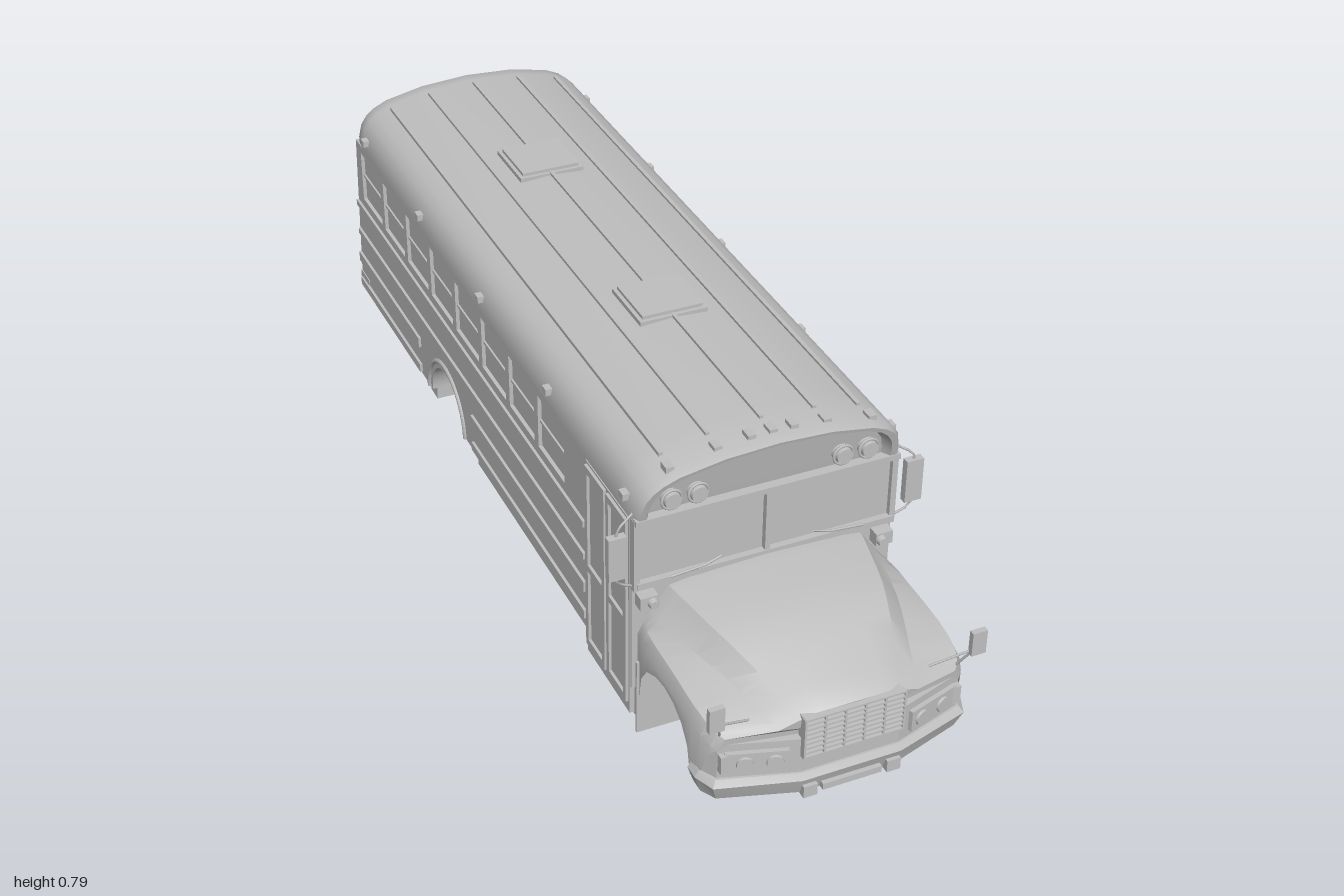
import * as THREE from 'three';
import { toCreasedNormals } from 'three/addons/utils/BufferGeometryUtils.js';

const grey = new THREE.MeshStandardMaterial({ color: 0xc0c0c0, side: THREE.DoubleSide });
grey.name = 'bodyGrey';

export function createModel() {
  const model = new THREE.Group();

  const add = (name, geo, x = 0, y = 0, z = 0) => {
    const m = new THREE.Mesh(geo, grey);
    m.name = name;
    m.position.set(x, y, z);
    model.add(m);
    return m;
  };
  // Box given by its limits
  const box = (name, x0, x1, y0, y1, z0, z1) =>
    add(name, new THREE.BoxGeometry(x1 - x0, y1 - y0, z1 - z0), (x0 + x1) / 2, (y0 + y1) / 2, (z0 + z1) / 2);
  // Round lamp facing along z
  const lamp = (name, x, y, z, r, d = 0.012) =>
    add(name, new THREE.CylinderGeometry(r * 0.85, r, d, 20).rotateX(z > 0 ? Math.PI / 2 : -Math.PI / 2), x, y, z);
  const rod = (name, pts, r = 0.0025) => {
    const path = new THREE.CurvePath();
    const v = pts.map(p => new THREE.Vector3(...p));
    for (let i = 1; i < v.length; i++) path.add(new THREE.LineCurve3(v[i - 1], v[i]));
    add(name, new THREE.TubeGeometry(path, 12, r, 6));
  };
  // Skin through equal-length rings of points
  const loft = (name, rings, { closed = false, caps = [] }, crease = 0.6) => {
    const n = rings[0].length, pos = rings.flat(2), idx = [];
    for (let i = 0; i < rings.length - 1; i++)
      for (let j = 0; j < (closed ? n : n - 1); j++) {
        const a = i * n + j, b = i * n + (j + 1) % n;
        idx.push(a, b, a + n, b, b + n, a + n);
      }
    for (const [r, centre] of caps) {
      const c = pos.length / 3;
      pos.push(...centre);
      for (let j = 0; j < n; j++) idx.push(r * n + j, r * n + (j + 1) % n, c);
    }
    const g = new THREE.BufferGeometry();
    g.setAttribute('position', new THREE.Float32BufferAttribute(pos, 3));
    g.setIndex(idx);
    add(name, toCreasedNormals(g, crease));
  };
  // Shape drawn in (z, y), extruded across x from x0 to x1
  const sideExtrude = (name, shape, x0, x1) =>
    add(name, new THREE.ExtrudeGeometry(shape, { depth: x1 - x0, bevelEnabled: false, curveSegments: 24 })
      .rotateY(-Math.PI / 2).translate(x1, 0, 0));
  // Plan drawn in (x, z), extruded upward
  const planExtrude = (name, pts, y0, y1) => {
    const s = new THREE.Shape(pts.map(([x, z]) => new THREE.Vector2(x, -z)));
    add(name, new THREE.ExtrudeGeometry(s, { depth: y1 - y0, bevelEnabled: false }).rotateX(-Math.PI / 2).translate(0, y0, 0));
  };
  const sideShape = () => {
    const s = new THREE.Shape();
    s.moveTo(0.62, 0.25);
    s.lineTo(0.62, 0.655);
    s.lineTo(-0.97, 0.655);
    s.lineTo(-0.995, 0.31);
    s.lineTo(-0.99, 0.25);
    s.lineTo(-0.52, 0.25);
    s.absarc(-0.4, 0.25, 0.098, Math.PI, 0, true);
    s.lineTo(0.62, 0.25);
    return s;
  };

  // Body core and side walls with window openings
  sideExtrude('bodyCore', sideShape(), -0.262, 0.262);
  box('floorTunnel', -0.13, 0.13, 0.25, 0.36, -0.52, -0.28);
  for (const s of [-1, 1]) {
    const wall = sideShape();
    const count = s > 0 ? 9 : 8;
    for (let i = 0; i < count + (s > 0 ? 1 : 0); i++) {
      const z = -0.87 + i * 0.157, w = i === 9 ? 0.05 : 0.068;
      const h = new THREE.Path();
      h.moveTo(z - w, 0.515); h.lineTo(z + w, 0.515); h.lineTo(z + w, 0.635); h.lineTo(z - w, 0.635);
      h.closePath();
      wall.holes.push(h);
      box('windowSash', s > 0 ? 0.262 : -0.266, s > 0 ? 0.266 : -0.262, 0.572, 0.578, z - w, z + w);
    }
    sideExtrude('sideWall', wall, s > 0 ? 0.262 : -0.27, s > 0 ? 0.27 : -0.262);

    // Rub rails, broken by the wheel arch and the door
    const zf = s > 0 ? 0.61 : 0.4;
    const xr = s > 0 ? [0.268, 0.276] : [-0.276, -0.268];
    for (const [y, h] of [[0.487, 0.014], [0.41, 0.014]]) box('rubRail', ...xr, y - h / 2, y + h / 2, -0.98, zf);
    for (const [y, h] of [[0.335, 0.024], [0.267, 0.02]]) {
      box('rubRail', ...xr, y - h / 2, y + h / 2, -0.23, zf);
      box('rubRail', ...xr, y - h / 2, y + h / 2, -0.99, -0.565);
    }
    for (let i = 0; i < 5; i++) box('sideMarker', s * 0.271 - 0.008, s * 0.271 + 0.008, 0.678, 0.692, 0.58 - i * 0.37, 0.6 - i * 0.37);

    // Lower skirts, frame rails and wheel arch lip
    box('skirt', s * 0.25 - 0.012, s * 0.25 + 0.012, 0.215, 0.25, -0.23, 0.58);
    box('frameRail', s * 0.1 - 0.015, s * 0.1 + 0.015, 0.205, 0.25, -0.56, 0.64);
    add('archLip', new THREE.TorusGeometry(0.115, 0.006, 6, 24, Math.PI).rotateY(Math.PI / 2), s * 0.27, 0.25, -0.4);
    const hanger = new THREE.Shape([[-0.44, 0.17], [-0.33, 0.17], [-0.33, 0.255], [-0.44, 0.255]].map(p => new THREE.Vector2(...p)));
    hanger.holes.push(new THREE.Path([[-0.41, 0.19], [-0.37, 0.19], [-0.37, 0.235], [-0.41, 0.235]].map(p => new THREE.Vector2(...p))));
    sideExtrude('axleHanger', hanger, s * 0.12 - 0.02, s * 0.12 + 0.02);

    // Front mud flap
    box('mudFlap', Math.min(s * 0.12, s * 0.27), Math.max(s * 0.12, s * 0.27), 0.158, 0.33, 0.638, 0.644);
  }
  for (const z of [0.31, 0.02, -0.25, -0.55]) box('crossBeam', -0.25, 0.25, 0.2, 0.25, z - 0.022, z + 0.022);
  box('stepWell', -0.262, -0.1, 0.18, 0.25, 0.41, 0.62);
  loft('rearTank', [[0.25, 0.2, -0.56, -0.84], [0.215, 0.17, -0.57, -0.78]].map(([y, w, a, b]) =>
    [[-w, y, a], [w, y, a], [w, y, b], [-w, y, b]]), { closed: true, caps: [[1, [0, 0.215, -0.68]]] }, 0.2);

  // Roof with a forward visor and rounded rear
  const half = [[0.27, 0.645], [0.27, 0.67], [0.263, 0.7], [0.25, 0.72], [0.232, 0.735], [0.2, 0.75], [0.11, 0.769], [0, 0.776]];
  const section = [...half, ...half.slice(0, -1).reverse().map(([x, y]) => [-x, y])];
  const roofRing = ([z, k, s]) => section.map(([x, y]) => {
    const yy = 0.65 + (y - 0.65) * s;
    return [x * s, yy, z + k * (yy - 0.65)];
  });
  loft('roof', [[0.62, 0.18, 0.88], [0.637, 0.26, 0.92], [0.637, 0.26, 0.97], [0.622, 0.24, 1], [0.55, 0, 1], [-0.92, 0, 1], [-0.955, 0.03, 0.985], [-0.974, 0.12, 0.94]]
    .map(roofRing), { closed: true, caps: [[0, [0, 0.69, 0.628]], [7, [0, 0.69, -0.969]]] }, 0.7);
  for (const [x, y] of [[-0.2, 0.75], [-0.108, 0.769], [0, 0.776], [0.108, 0.769], [0.2, 0.75]])
    box('roofRib', x - 0.004, x + 0.004, y - 0.006, y + 0.006, -0.9, 0.59);
  for (const z of [-0.49, 0.14]) {
    box('roofHatch', -0.072, 0.072, 0.76, 0.781, z - 0.07, z + 0.07);
    box('roofHatchLid', -0.064, 0.064, 0.78, 0.788, z - 0.062, z + 0.062);
  }
  for (const x of [-0.204, -0.11, -0.043, 0, 0.043, 0.11, 0.204]) {
    const y = 0.777 - x * x * 0.62;
    box('clearanceLamp', x - 0.008, x + 0.008, y - 0.012, y + 0.006, 0.615, 0.64);
    if (Math.abs(x) < 0.1) box('rearClearanceLamp', x - 0.01, x + 0.01, 0.725, 0.737, -0.975, -0.955);
  }

  // Windscreen, visor lamps, wipers, mirrors
  box('windscreenSill', -0.265, 0.265, 0.495, 0.508, 0.615, 0.636);
  box('windscreenHeader', -0.27, 0.27, 0.642, 0.654, 0.61, 0.64);
  box('windscreenDivider', -0.005, 0.005, 0.505, 0.645, 0.618, 0.634);
  for (const s of [-1, 1]) {
    box('windscreenPane', s * 0.132 - 0.125, s * 0.132 + 0.125, 0.51, 0.642, 0.62, 0.625);
    box('windscreenPost', s * 0.265 - 0.006, s * 0.265 + 0.006, 0.49, 0.65, 0.61, 0.632);
    rod('wiper', [[s * 0.2, 0.508, 0.637], [s * 0.13, 0.514, 0.637], [s * 0.095, 0.524, 0.635]]);
    for (const x of [0.147, 0.2]) {
      lamp('warningLamp', s * x, 0.686, 0.638, 0.019, 0.02);
      add('warningLampRim', new THREE.TorusGeometry(0.02, 0.003, 6, 20), s * x, 0.686, 0.64);
      lamp('rearWarningLamp', s * (x + 0.01), 0.69, -0.974, 0.02, 0.016);
    }
    rod('mirrorArm', [[s * 0.265, 0.665, 0.62], [s * 0.305, 0.64, 0.63], [s * 0.305, 0.52, 0.63], [s * 0.265, 0.495, 0.62]]);
    box('sideMirror', s * 0.305 - 0.018, s * 0.305 + 0.018, 0.533, 0.627, 0.622, 0.638);
    box('cowlLamp', s * 0.245 - 0.018, s * 0.245 + 0.018, 0.452, 0.48, 0.62, 0.645);
    lamp('cowlLampLens', s * 0.238, 0.466, 0.65, 0.011);
    rod('hoodMirrorArm', [[s * 0.17, 0.39, 0.93], [s * 0.258, 0.435, 0.965]]);
    rod('hoodMirrorBrace', [[s * 0.235, 0.37, 0.93], [s * 0.258, 0.435, 0.965]]);
    box('hoodMirror', s * 0.262 - 0.015, s * 0.262 + 0.015, 0.425, 0.477, 0.96, 0.972);
  }

  // Hood and fenders: [z, half width, lower edge, fender top, hood half width, hood top]
  const hoodRing = ([z, w, yb, ft, hw, ht]) => {
    const p = [[w, yb], [w, ft - 0.025], [w - 0.012, ft], [hw + 0.035, ft + (ht - ft) * 0.25], [hw, ht - 0.012], [hw * 0.6, ht], [0, ht + 0.004]];
    const t = Math.pow((z - 0.63) / 0.36, 4);
    return [...p, ...p.slice(0, -1).reverse().map(([x, y]) => [-x, y])].map(([x, y]) => [x, y, z - 0.05 * t * (x / 0.25) ** 2]);
  };
  loft('hood', [
    [0.63, 0.262, 0.25, 0.415, 0.2, 0.496], [0.645, 0.265, 0.25, 0.415, 0.198, 0.496], [0.66, 0.268, 0.305, 0.413, 0.195, 0.495],
    [0.69, 0.27, 0.345, 0.412, 0.189, 0.493], [0.73, 0.27, 0.364, 0.41, 0.181, 0.49], [0.77, 0.27, 0.37, 0.409, 0.172, 0.486],
    [0.81, 0.27, 0.364, 0.407, 0.16, 0.479], [0.85, 0.27, 0.345, 0.404, 0.147, 0.468], [0.88, 0.269, 0.31, 0.401, 0.137, 0.458],
    [0.895, 0.268, 0.25, 0.4, 0.132, 0.453], [0.94, 0.264, 0.28, 0.393, 0.118, 0.437], [0.975, 0.255, 0.34, 0.385, 0.11, 0.424],
    [0.988, 0.245, 0.35, 0.376, 0.106, 0.414]].map(hoodRing), { caps: [[12, [0, 0.37, 0.988]]] }, 0.5);
  const plan = (d, back) => [[-0.262 - d, back], [-0.262 - d, 0.91], [-0.245 - d, 0.94 + d], [-0.1, 0.985 + d], [0.1, 0.985 + d], [0.245 + d, 0.94 + d], [0.262 + d, 0.91], [0.262 + d, back]];
  planExtrude('noseFascia', plan(0, 0.9), 0.27, 0.362);
  // Bumper, tucked in toward its lower edge
  loft('frontBumper', [[0.222, -0.025], [0.235, 0], [0.272, 0.012], [0.285, 0.004]].map(([y, d]) =>
    plan(d, 0.88).map(([x, z]) => [x, y, z])), { closed: true, caps: [[0, [0, 0.222, 0.93]], [3, [0, 0.285, 0.93]]] }, 0.3);
  box('bumperStep', -0.06, 0.06, 0.238, 0.252, 0.98, 1);
  for (const s of [-1, 1]) {
    box('towHook', s * 0.085 - 0.014, s * 0.085 + 0.014, 0.232, 0.258, 0.975, 1);
    const cluster = box('headlampBezel', s * 0.178 - 0.058, s * 0.178 + 0.058, 0.3, 0.346, 0.958, 0.97);
    cluster.rotation.y = s * 0.3;
    for (const x of [0.148, 0.2]) lamp('headlamp', s * x, 0.322, 0.977 - (x - 0.148) * 0.31, 0.018, 0.014).rotation.y = s * 0.3;
    box('turnLamp', s * 0.232 - 0.012, s * 0.232 + 0.012, 0.303, 0.343, 0.935, 0.955);
    box('fenderBracket', s * 0.15 - 0.02, s * 0.15 + 0.02, 0.175, 0.235, 0.755, 0.785);
  }
  box('engineBay', -0.128, 0.128, 0.197, 0.37, 0.63, 0.9);

  // Grille
  box('grilleBack', -0.1, 0.1, 0.325, 0.412, 0.97, 0.99);
  for (let i = 0; i <= 8; i++) box('grilleSlat', -0.1, 0.1, 0.324 + i * 0.0109, 0.328 + i * 0.0109, 0.985, 0.998);
  for (let i = 0; i <= 5; i++) box('grilleBar', -0.102 + i * 0.04, -0.098 + i * 0.04, 0.324, 0.414, 0.985, 0.998);

  // Entry door with two glazed leaves
  box('entryDoor', -0.272, -0.262, 0.185, 0.645, 0.41, 0.615);
  for (const z of [0.462, 0.563]) {
    for (const [a, b] of [[0.21, 0.225], [0.395, 0.41], [0.625, 0.64]]) box('doorRail', -0.278, -0.27, a, b, z - 0.045, z + 0.045);
    for (const d of [-0.04, 0.04]) box('doorStile', -0.278, -0.27, 0.21, 0.64, z + d - 0.006, z + d + 0.006);
  }

  // Folding stop signs
  for (const z of [0.34, -0.77]) {
    add('stopSign', new THREE.CylinderGeometry(0.05, 0.05, 0.006, 8).rotateY(Math.PI / 8).rotateZ(Math.PI / 2), 0.282, 0.445, z);
    for (const y of [0.405, 0.485]) add('signLamp', new THREE.CylinderGeometry(0.008, 0.008, 0.012, 12).rotateZ(Math.PI / 2), 0.284, y, z);
    box('signArm', 0.268, 0.282, 0.43, 0.46, z - 0.065, z - 0.045);
  }

  // Rear wall: door, windows, lamps and bands, following the wall's slope
  const rearZ = y => -0.995 + (y - 0.31) * 0.0725;
  const rearPlate = (name, x0, x1, y0, y1, d = 0.006) => {
    const m = box(name, x0, x1, y0, y1, rearZ((y0 + y1) / 2) - d, rearZ((y0 + y1) / 2) + 0.004);
    m.rotation.x = 0.072;
  };
  rearPlate('rearDoor', -0.1, 0.1, 0.3, 0.665, 0.003);
  rearPlate('rearDoorWindow', -0.082, 0.082, 0.51, 0.64);
  rearPlate('rearDoorLowerPanel', -0.082, 0.082, 0.33, 0.48);
  for (const s of [-1, 1]) {
    const span = [Math.min(s * 0.11, s * 0.265), Math.max(s * 0.11, s * 0.265)];
    for (const y of [0.487, 0.41, 0.335]) rearPlate('rearBand', ...span, y - 0.007, y + 0.007, 0.005);
    rearPlate('rearWindow', s * 0.183 - 0.055, s * 0.183 + 0.055, 0.52, 0.63, 0.003);
    for (const x of [0.16, 0.215]) lamp('brakeLamp', s * x, 0.448, rearZ(0.448) - 0.005, 0.022);
    for (const x of [0.145, 0.187, 0.229]) lamp('tailLamp', s * x, 0.373, rearZ(0.373) - 0.005, 0.016);
  }
  box('rearBumper', -0.272, 0.272, 0.252, 0.292, -1, -0.94);

  // Wheel: wide tyre with dished rim and hub
  const profile = [[0.035, -0.055], [0.06, -0.06], [0.066, -0.078], [0.085, -0.08], [0.102, -0.074], [0.109, -0.062], [0.11, -0.01], [0.107, -0.004],
    [0.107, 0.01], [0.11, 0.016], [0.109, 0.065], [0.102, 0.075], [0.085, 0.08], [0.066, 0.078], [0.06, 0.06], [0.035, 0.05]];
  const tyre = new THREE.LatheGeometry(profile.map(p => new THREE.Vector2(...p)), 40).rotateZ(-Math.PI / 2);
  add('wheel', toCreasedNormals(tyre, 0.7), 0, 0.11, 0.19);
  add('hub', new THREE.CylinderGeometry(0.036, 0.036, 0.1, 24).rotateZ(Math.PI / 2), 0, 0.11, 0.19);
  add('hubCap', new THREE.CylinderGeometry(0.018, 0.022, 0.135, 16).rotateZ(Math.PI / 2), 0, 0.11, 0.19);
  return model;
}
